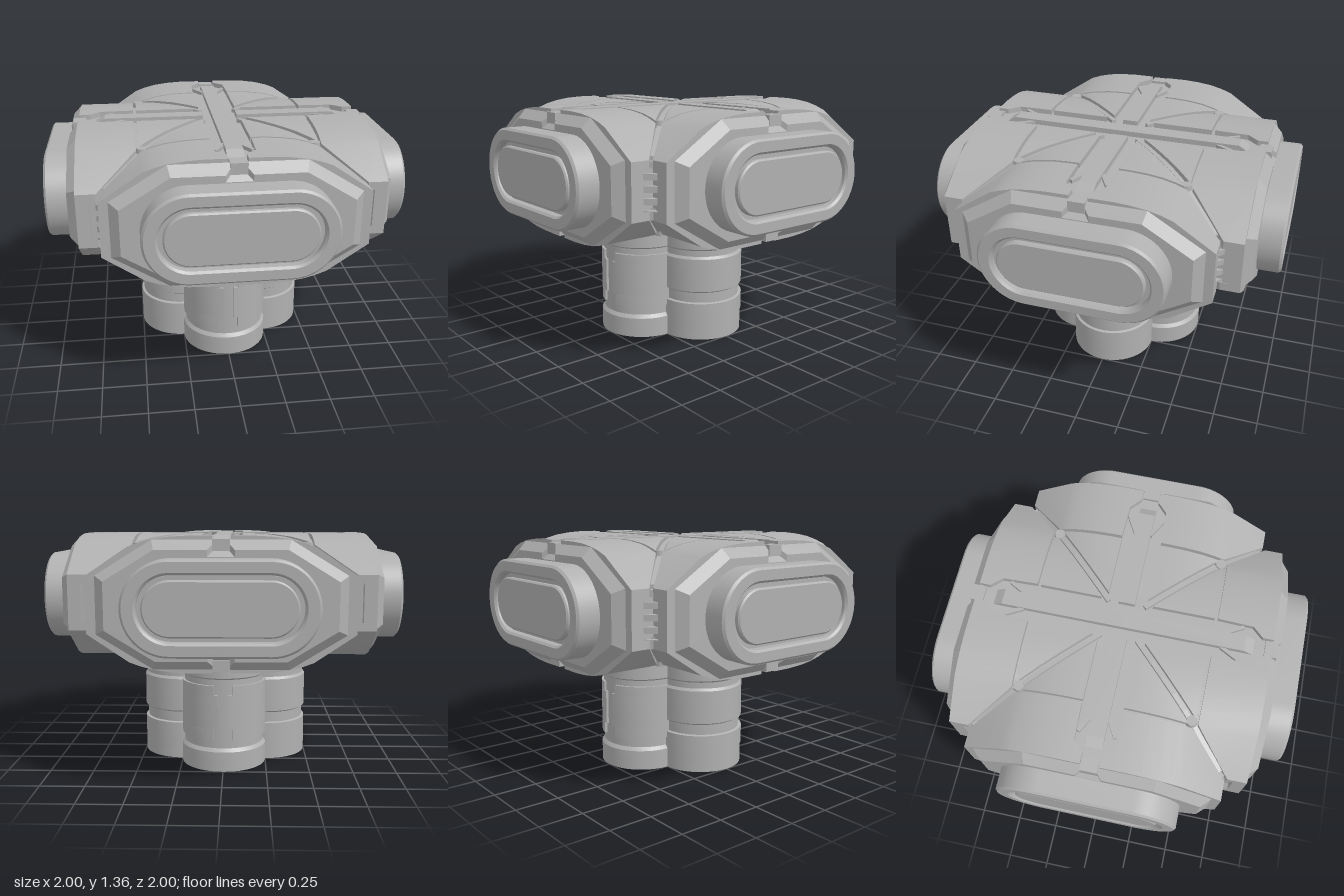
import * as THREE from 'three';
import { toCreasedNormals } from 'three/addons/utils/BufferGeometryUtils.js';

const CY = 1.005; // height of the hub's middle

// Half profile of an arm: [distance from its axis, height above the middle]
const PROFILE = [[0, 0.355], [0.17, 0.355], [0.26, 0.35], [0.35, 0.338], [0.42, 0.32], [0.48, 0.298], [0.7, 0.15]];
function heightAt(u) {
  for (let i = 1; i < PROFILE.length; i++) {
    const [a, ha] = PROFILE[i - 1], [b, hb] = PROFILE[i];
    if (u <= b) return ha + (hb - ha) * (u - a) / (b - a);
  }
  return PROFILE[PROFILE.length - 1][1];
}

function polygon(points) {
  return new THREE.Shape(points.map(([x, y]) => new THREE.Vector2(x, y)));
}

function extrude(shape, depth, bevel = 0, thickness = bevel) {
  return new THREE.ExtrudeGeometry(shape, {
    depth, bevelEnabled: bevel > 0, bevelSize: bevel, bevelThickness: thickness, bevelSegments: 1, curveSegments: 20,
  });
}

// Rounded slot outline with half width w and half height h
function stadium(w, h, Kind = THREE.Shape) {
  const s = new Kind();
  s.absarc(w - h, 0, h, -Math.PI / 2, Math.PI / 2, false);
  s.absarc(-(w - h), 0, h, Math.PI / 2, Math.PI * 1.5, false);
  s.closePath();
  return s;
}

// Armour plate following the arm profile; rows are [u, start, end], side is +1 or -1
function plateGeometry(rows, side) {
  const t = 0.045, pos = [], idx = [];
  const list = side > 0 ? rows : [...rows].reverse();
  for (const [u, a, b] of list) {
    const h = heightAt(u), x = u * side;
    pos.push(x, h, a, x, h, b, x, h - t, b, x, h - t, a);
  }
  const n = list.length;
  for (let i = 0; i < n - 1; i++) {
    for (let k = 0; k < 4; k++) {
      const a = i * 4 + k, b = i * 4 + (k + 1) % 4;
      idx.push(a, b, b + 4, a, b + 4, a + 4);
    }
  }
  const e = (n - 1) * 4;
  idx.push(0, 3, 2, 0, 2, 1, e, e + 2, e + 3, e, e + 1, e + 2);
  const g = new THREE.BufferGeometry();
  g.setAttribute('position', new THREE.Float32BufferAttribute(pos, 3));
  g.setIndex(idx);
  return toCreasedNormals(g, 0.4);
}

export function createModel() {
  const grey = new THREE.MeshStandardMaterial({ color: 0xb0b0b0 });
  const model = new THREE.Group();
  model.name = 'fourWayJunction';

  function add(parent, name, geometry, x = 0, y = 0, z = 0) {
    const mesh = new THREE.Mesh(geometry, grey);
    mesh.name = name;
    mesh.position.set(x, y, z);
    parent.add(mesh);
    return mesh;
  }

  const hub = new THREE.Group();
  hub.name = 'hub';
  hub.position.y = CY;
  model.add(hub);

  // Two crossed core tubes, slightly below the plate surface
  const half = [...PROFILE.slice(0, -1).map(p => p[0]), 0.66].map(u => [u, heightAt(u) - 0.03]);
  const right = [...half, ...[...half].reverse().map(([u, h]) => [u, -h])];
  const outline = [...right, ...right.slice(1, -1).reverse().map(([u, h]) => [-u, h])];
  for (const turn of [0, Math.PI / 2]) {
    const g = extrude(polygon(outline), 1.64).translate(0, 0, -0.82);
    add(hub, 'coreTube', toCreasedNormals(g, 0.4)).rotation.y = turn;
  }

  // Shared plate, bar and rib geometries for the top and bottom shells
  const inner = [0.11, 0.17, 0.26, 0.35, 0.42, 0.448].map(u => [u, u + 0.034, 0.487]);
  const outer = [[0.05, 0.76, 0.82], [0.105, 0.7, 0.82], [0.112, 0.505, 0.82],
    ...[0.17, 0.26, 0.35, 0.42, 0.48].map(u => [u, 0.505, 0.82]), [0.7, 0.714, 0.82]];
  const plates = [1, -1].flatMap(s => [['innerPlate', plateGeometry(inner, s)], ['outerPlate', plateGeometry(outer, s)]]);
  const bar = start => extrude(polygon([[start, 0.3], [0.72, 0.3], [0.72, 0.325], [0.67, 0.355], [start, 0.355]]), 0.09)
    .translate(0, 0, -0.045).rotateY(-Math.PI / 2);
  const bars = [bar(0), bar(0.1)];
  const ss = [0.1, 0.2, 0.28, 0.35, 0.42, 0.48, 0.67];
  const ribLine = drop => ss.map(s => [s * Math.SQRT2, heightAt(s) - drop]);
  const rib = extrude(polygon([...ribLine(0.07).reverse(), ...ribLine(0.008)].reverse()), 0.026)
    .translate(0, 0, -0.013).rotateY(-Math.PI / 4);
  const node = new THREE.CylinderGeometry(0.03, 0.036, 0.05, 8);

  for (const flip of [0, Math.PI]) {
    const shell = new THREE.Group();
    shell.name = flip ? 'bottomShell' : 'topShell';
    shell.rotation.x = flip;
    hub.add(shell);
    for (let i = 0; i < 4; i++) {
      const quarter = new THREE.Group();
      quarter.name = 'shellQuarter';
      quarter.rotation.y = i * Math.PI / 2;
      shell.add(quarter);
      for (const [name, g] of plates) add(quarter, name, g);
      add(quarter, 'channelBar', bars[i % 2]);
      add(quarter, 'channelClip', new THREE.BoxGeometry(0.09, 0.06, 0.07), 0, 0.31, 0.815);
      add(quarter, 'diagonalRib', rib);
      add(quarter, 'ribNode', node, 0.468, 0.285, 0.468);
      for (const s of [-1, 1]) {
        const brace = add(quarter, 'channelBrace', new THREE.BoxGeometry(0.02, 0.04, 0.12), s * 0.07, 0.325, 0.6);
        brace.rotation.y = s * 0.5;
      }
    }
  }

  // Octagonal flange with centre notches, and the raised port
  const q = [[0.07, 0.25], [0.07, 0.285], [0.34, 0.285], [0.6, 0.125]];
  const mirror = (list, sx, sy) => list.map(([x, y]) => [x * sx, y * sy]);
  const flangeShape = polygon([...q, ...mirror(q, 1, -1).reverse(), ...mirror(q, -1, -1), ...mirror(q, -1, 1).reverse()].reverse());
  const flange = extrude(flangeShape, 0.01, 0.05).translate(0, 0, 0.81);
  const rimShape = stadium(0.488, 0.233);
  rimShape.holes.push(stadium(0.43, 0.18, THREE.Path));
  const rim = toCreasedNormals(extrude(rimShape, 0.18, 0.012).translate(0, 0, 0.808), 0.4);
  const collar = toCreasedNormals(extrude(stadium(0.418, 0.163), 0.12).translate(0, 0, 0.86), 0.4);
  const seat = toCreasedNormals(extrude(stadium(0.385, 0.135), 0.02, 0.008).translate(0, 0, 0.967), 0.4);
  const floor = extrude(stadium(0.45, 0.2), 0.08).translate(0, 0, 0.86);

  for (let i = 0; i < 4; i++) {
    const arm = new THREE.Group();
    arm.name = 'arm';
    arm.rotation.y = i * Math.PI / 2;
    hub.add(arm);
    add(arm, 'flange', flange);
    add(arm, 'portRim', rim);
    add(arm, 'portFloor', floor);
    add(arm, 'portCollar', collar).scale.z = 0.98;
    add(arm, 'portPanel', seat);
    for (const s of [-1, 1]) add(arm, 'armCheek', new THREE.BoxGeometry(0.05, 0.3, 0.07), s * 0.675, 0, 0.785);
    // Stacked slats in the corner between two arms
    for (let k = -2; k <= 2; k++) {
      const slat = add(arm, 'cornerSlat', new THREE.BoxGeometry(0.13, 0.032, 0.07), 0.665, k * 0.062, 0.665);
      slat.rotation.y = Math.PI / 4;
    }
  }

  // Four-lobed stem
  const stem = new THREE.Group();
  stem.name = 'stem';
  model.add(stem);
  const lathe = pts => toCreasedNormals(new THREE.LatheGeometry(pts.map(([r, y]) => new THREE.Vector2(r, y)), 48), 0.4);
  const top = [[0.25, 0.49], [0.238, 0.505], [0.238, 0.54], [0.25, 0.55], [0.25, 0.7]];
  const sideLobe = lathe([[0, 0.045], [0.25, 0.045], [0.25, 0.22], [0.235, 0.225], [0.235, 0.285], [0.25, 0.295], ...top]);
  const frontLobe = lathe([[0, 0.045], [0.25, 0.045], [0.25, 0.115], [0.234, 0.135], [0.234, 0.54], [0.25, 0.55], [0.25, 0.7]]);

  // Curved band around a lobe, open by a slot at the front
  function bandGeometry(gap, y0, y1) {
    const a = Math.asin(gap / 0.25), s = new THREE.Shape();
    s.absarc(0, 0, 0.248, a - Math.PI / 2, Math.PI * 1.5 - a, false);
    s.absarc(0, 0, 0.225, Math.PI * 1.5 - a, a - Math.PI / 2, true);
    s.closePath();
    return toCreasedNormals(extrude(s, y1 - y0).rotateX(-Math.PI / 2).translate(0, y0, 0), 0.4);
  }
  const bands = [bandGeometry(0.055, 0.185, 0.25), bandGeometry(0.03, 0.25, 0.45), bandGeometry(0.055, 0.45, 0.505)];

  for (let i = 0; i < 4; i++) {
    const lobe = new THREE.Group();
    lobe.name = 'stemLobe';
    lobe.rotation.y = i * Math.PI / 2;
    stem.add(lobe);
    add(lobe, 'lobeBody', i % 2 ? sideLobe : frontLobe, 0, 0, 0.25);
    if (i % 2 === 0) for (const g of bands) add(lobe, 'lobeBand', g, 0, 0, 0.25);
  }

  // Foot rim with four lobe recesses and a round centre recess
  const polar = (r, a) => new THREE.Vector2(r * Math.cos(a), r * Math.sin(a));
  const reach = (r, a) => 0.25 * Math.cos(a) + Math.sqrt(Math.max(0, r * r - 0.0625 * Math.sin(a) ** 2));
  const edge = [], holes = [];
  for (let i = 0; i < 4; i++) {
    const base = i * Math.PI / 2, far = [], near = [];
    for (let k = 0; k < 24; k++) {
      const a = (k / 24 - 0.5) * Math.PI / 2;
      edge.push(polar(reach(0.25, a), base + a));
    }
    for (let k = 0; k <= 16; k++) {
      const a = (k / 16 - 0.5) * 1.36;
      far.push(polar(reach(0.21, a), base + a));
      near.push(polar(0.175, base + a));
    }
    holes.push(new THREE.Path([...far, ...near.reverse()]));
  }
  const foot = new THREE.Shape(edge);
  foot.holes.push(...holes, new THREE.Path().absarc(0, 0, 0.135, 0, Math.PI * 2));
  add(stem, 'footRim', toCreasedNormals(extrude(foot, 0.05).rotateX(-Math.PI / 2), 0.4));

  return model;
}
